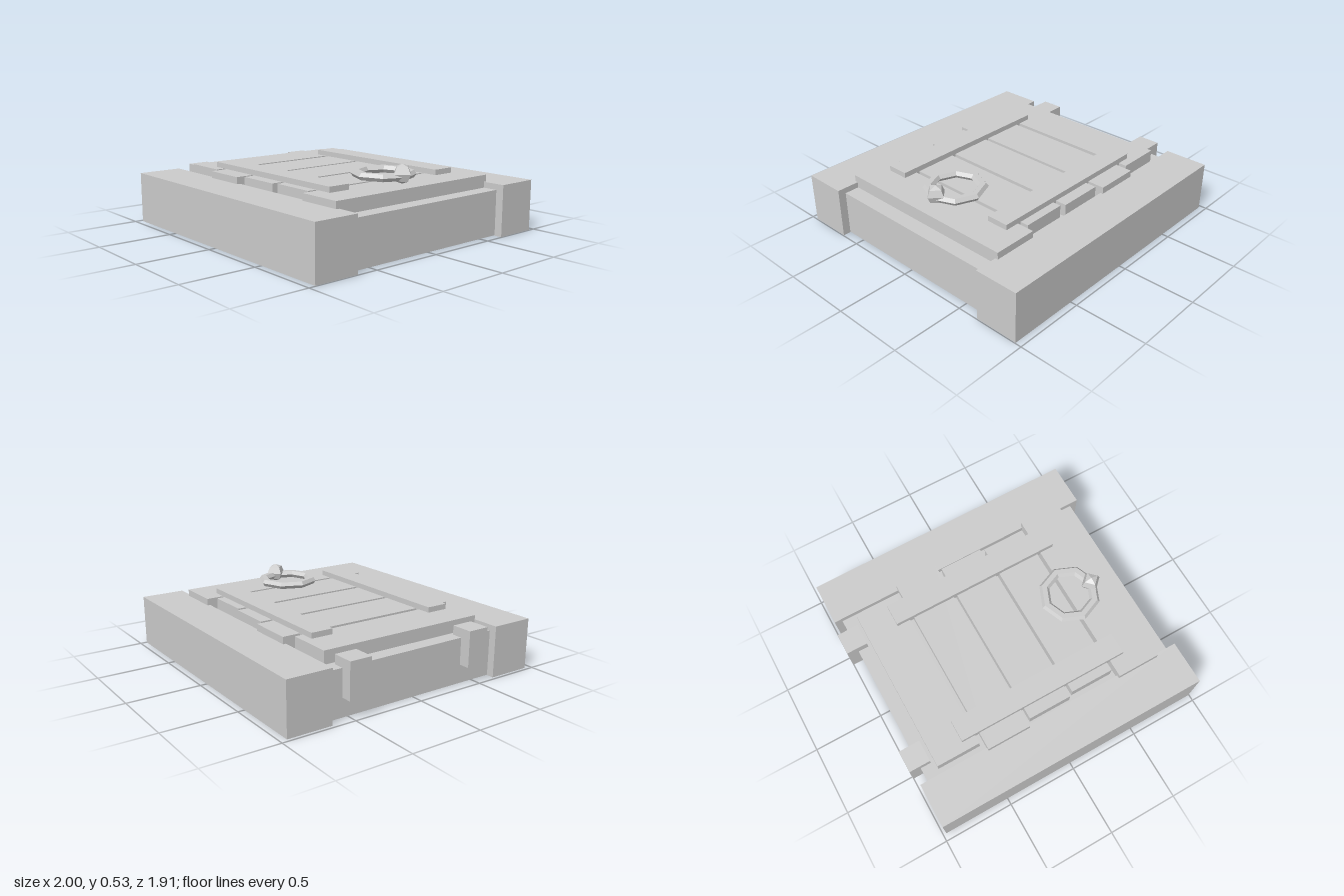
import * as THREE from 'three';

export function createModel() {
  const model = new THREE.Group();
  model.name = 'trapdoor';
  const material = new THREE.MeshStandardMaterial({ color: 0xcccccc, flatShading: true });

  const add = (name, geometry, x, y, z) => {
    const mesh = new THREE.Mesh(geometry, material);
    mesh.name = name;
    mesh.position.set(x, y, z);
    model.add(mesh);
    return mesh;
  };
  // Box given by its limits on each axis
  const block = (name, x0, x1, y0, y1, z0, z1) =>
    add(name, new THREE.BoxGeometry(x1 - x0, y1 - y0, z1 - z0),
      (x0 + x1) / 2, (y0 + y1) / 2, (z0 + z1) / 2);

  // Solid base between the two frame beams
  block('base', -0.925, 0.94, 0.003, 0.313, -0.66, 0.66);
  block('backBeam', -0.977, 0.995, 0, 0.353, -0.955, -0.648);
  block('frontBeam', -0.977, 0.995, 0, 0.353, 0.645, 0.953);

  // Door planks of uneven length: [x start, x end, half length]
  const planks = [
    [-0.825, -0.515, 0.603],
    [-0.483, -0.17, 0.667],
    [-0.145, 0.165, 0.623],
    [0.193, 0.503, 0.603],
    [0.528, 0.835, 0.667],
  ];
  planks.forEach(([x0, x1, half], i) =>
    block(`plank${i + 1}`, x0, x1, 0.305, 0.4, -half, half));

  // Cross straps, with hinge blocks hooked over the edge of the base
  for (const [side, z] of [['back', -0.467], ['front', 0.465]]) {
    block(`${side}Strap`, -0.61, 0.63, 0.377, 0.437, z - 0.077, z + 0.077);
    block(`${side}Hinge`, -1, -0.85, 0.13, 0.375, z - 0.077, z + 0.077);
  }

  // Octagonal pull ring lying flat
  const ring = new THREE.TorusGeometry(0.179, 0.036, 6, 8);
  ring.rotateX(Math.PI / 2);
  ring.scale(1, 0.77, 1);
  add('pullRing', ring, 0.53, 0.445, 0);

  // Faceted stud holding the ring
  const stud = new THREE.SphereGeometry(0.073, 4, 4);
  stud.scale(1, 0.88, 1);
  add('ringStud', stud, 0.7, 0.464, 0);

  return model;
}
